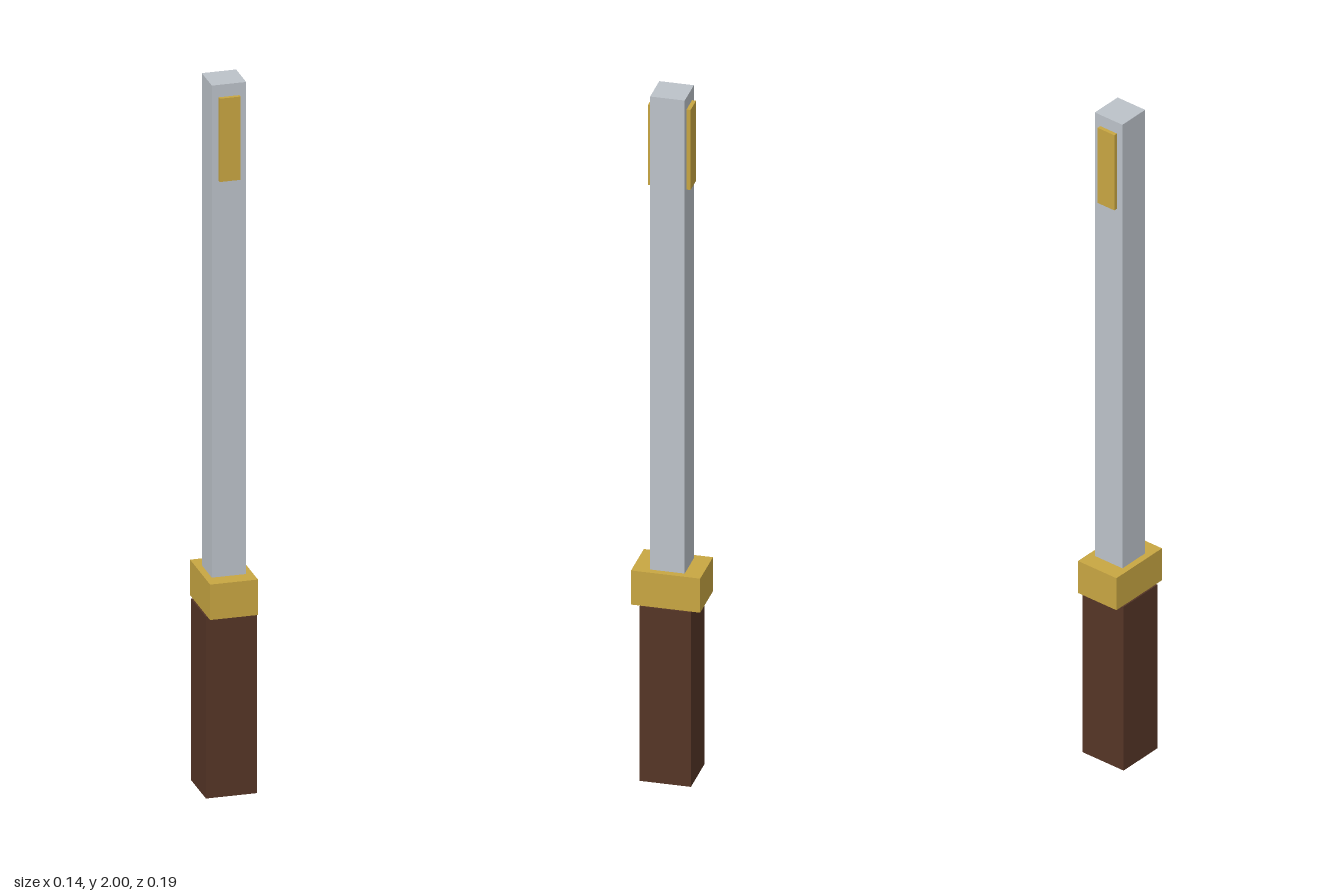
import * as THREE from 'three';

export function createModel() {
  const model = new THREE.Group();
  model.name = 'sword';

  const material = (name, color) => {
    const m = new THREE.MeshStandardMaterial({ color });
    m.name = name;
    return m;
  };
  const steel = material('steel', 0xbcc2c9);
  const gold = material('gold', 0xc8a642);
  const wood = material('dark wood', 0x553526);

  // Box of given width and depth, spanning y0 to y1
  const addBox = (name, mat, width, depth, y0, y1, z = 0) => {
    const mesh = new THREE.Mesh(new THREE.BoxGeometry(width, y1 - y0, depth), mat);
    mesh.name = name;
    mesh.position.set(0, (y0 + y1) / 2, z);
    model.add(mesh);
  };

  addBox('grip', wood, 0.14, 0.14, 0, 0.512);
  addBox('guard', gold, 0.131, 0.188, 0.512, 0.612);
  addBox('blade', steel, 0.094, 0.094, 0.612, 2);

  // Raised inlays near the tip, front and back
  for (const [name, side] of [['frontInlay', 1], ['backInlay', -1]]) {
    addBox(name, gold, 0.057, 0.012, 1.73, 1.965, side * 0.052);
  }

  return model;
}
